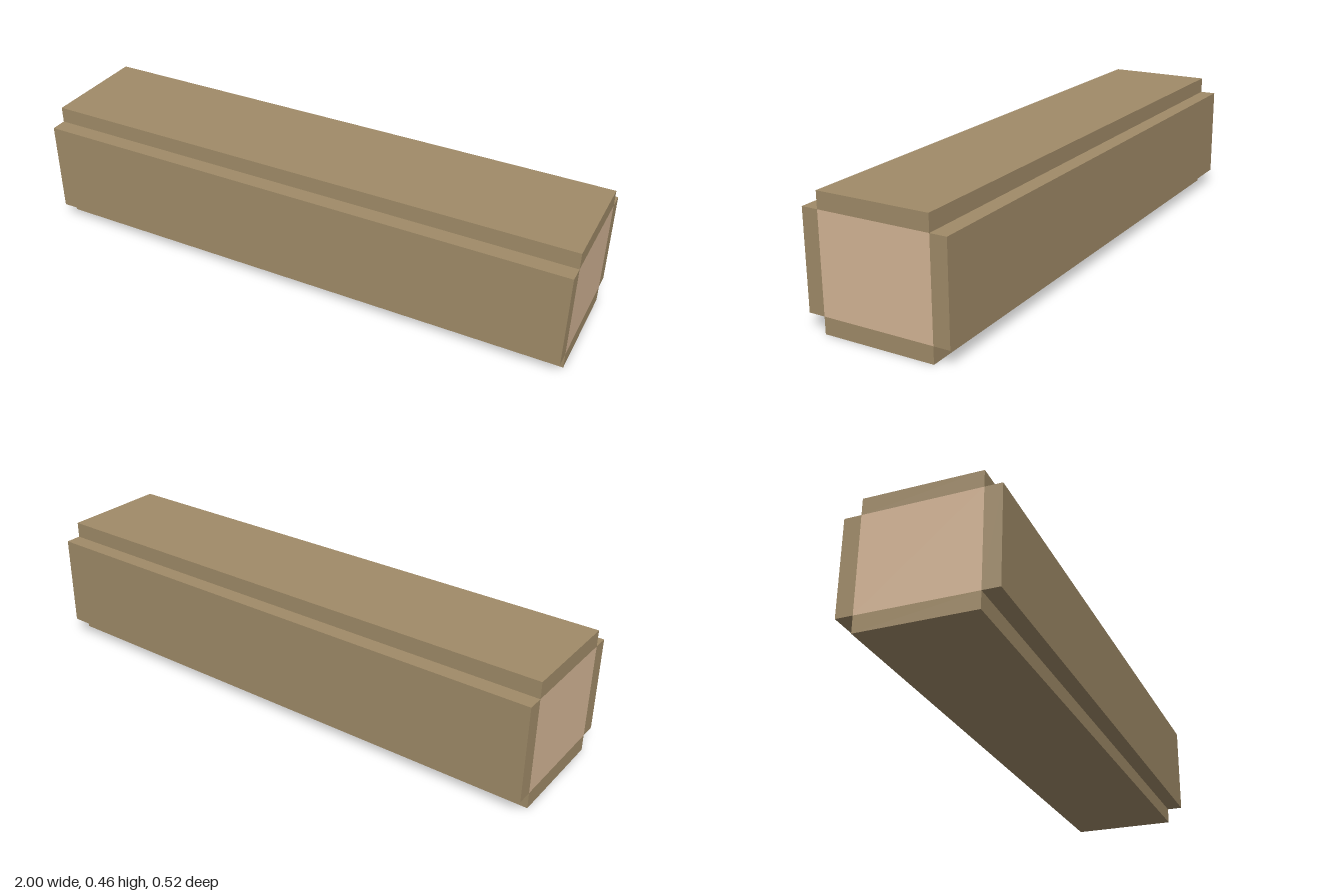
import * as THREE from 'three';

export function createModel() {
  const model = new THREE.Group();
  model.name = 'squaredLog';

  const wood = new THREE.MeshStandardMaterial({ color: 0xd4b596 });
  const bark = new THREE.MeshStandardMaterial({ color: 0xa08b68 });

  const length = 2, coreHeight = 0.342, coreDepth = 0.4, barkThickness = 0.0585;
  const midY = coreHeight / 2 + barkThickness;

  const addBox = (name, material, height, depth, y, z) => {
    const mesh = new THREE.Mesh(new THREE.BoxGeometry(length, height, depth), material);
    mesh.name = name;
    mesh.position.set(0, y, z);
    model.add(mesh);
  };

  // Pale wooden core, visible at both ends
  addBox('core', wood, coreHeight, coreDepth, midY, 0);

  // Bark slabs on the four long sides, leaving notched corners
  const offY = (coreHeight + barkThickness) / 2;
  const offZ = (coreDepth + barkThickness) / 2;
  for (const s of [1, -1]) {
    addBox(s > 0 ? 'topBark' : 'bottomBark', bark, barkThickness, coreDepth, midY + s * offY, 0);
    addBox(s > 0 ? 'frontBark' : 'backBark', bark, coreHeight, barkThickness, midY, s * offZ);
  }

  return model;
}
